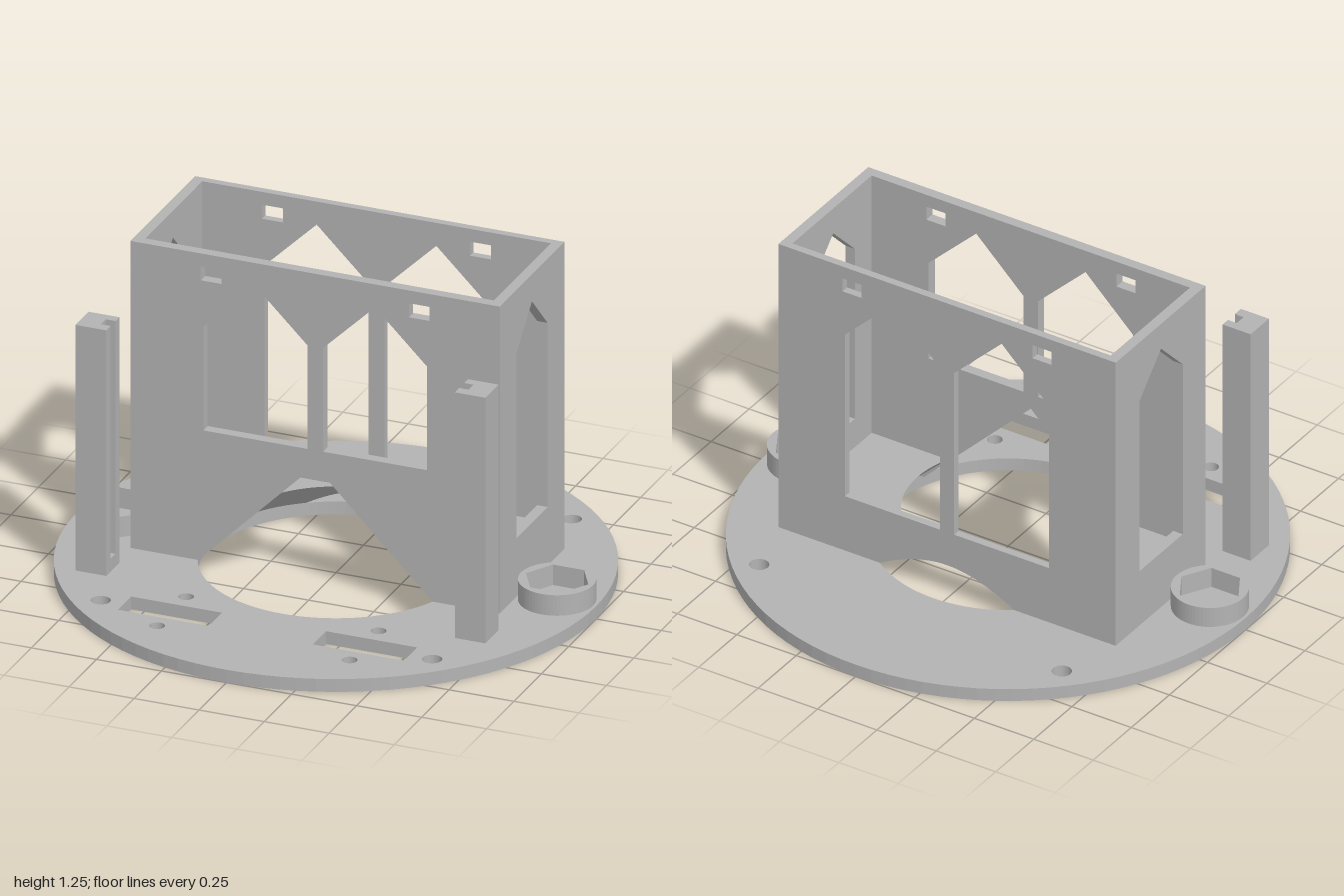
import * as THREE from 'three';

const BASE_TOP = 0.05, FLOOR = 0.16, WALL_TOP = 1.25;
const R_LOW = 0.49, R_HIGH = 0.38; // conical opening radii at BASE_TOP and FLOOR
const BACK = -0.4, BACK_IN = -0.37, FRONT_IN = 0.15, FRONT = 0.19;
const OUT_X = 0.71, IN_X = 0.67;

const gray = new THREE.MeshStandardMaterial({ color: 0xb3b3b3 });
gray.name = 'plain gray';

const poly = (pts) => new THREE.Shape(pts.map(([x, y]) => new THREE.Vector2(x, y)));
const rect = (x0, y0, x1, y1) => poly([[x0, y0], [x1, y0], [x1, y1], [x0, y1]]);
const circle = (x, y, r) => new THREE.Shape().absarc(x, y, r, 0, Math.PI * 2, false);
const gothic = (x0, x1, y0, y1, apex) =>
  poly([[x0, y0], [x1, y0], [x1, y1], [(x0 + x1) / 2, apex], [x0, y1]]);

function extrude(shape, holes, depth, curveSegments = 32) {
  shape.holes.push(...holes);
  return new THREE.ExtrudeGeometry(shape, { depth, bevelEnabled: false, curveSegments });
}
// Plan shapes use (x, -z) and rise along y
const plan = (shape, holes, y0, y1, seg) =>
  extrude(shape, holes, y1 - y0, seg).rotateX(-Math.PI / 2).translate(0, y0, 0);

export function createModel() {
  const model = new THREE.Group();
  const add = (name, geometry) => {
    const mesh = new THREE.Mesh(geometry, gray);
    mesh.name = name;
    model.add(mesh);
    return mesh;
  };

  // Round base plate with central opening, screw holes and slots
  const baseHoles = [circle(0, 0, R_LOW)];
  for (const s of [-1, 1]) {
    baseHoles.push(
      circle(s * 0.637, 0.64, 0.036), circle(s * 0.637, -0.635, 0.036),
      circle(s * 0.37, -0.49, 0.028), circle(s * 0.37, -0.755, 0.028),
      rect(s * 0.375 - 0.175, -0.685, s * 0.375 + 0.175, -0.565));
  }
  add('basePlate', plan(circle(0, 0, 1), baseHoles, 0, BASE_TOP, 48));

  // Pointed windows and small slots shared by the long walls
  const openings = (sill) => [-1, 1].flatMap((s) => [
    gothic(s * 0.23 - 0.2, s * 0.23 + 0.2, sill, 0.965, 1.16),
    rect(s * 0.4 - 0.04, 1.145, s * 0.4 + 0.04, 1.2)]);

  // Front wall with triangular cutout
  const front = poly([[-OUT_X, BASE_TOP], [-0.45, BASE_TOP], [0, 0.5], [0.45, BASE_TOP],
    [OUT_X, BASE_TOP], [OUT_X, WALL_TOP], [-OUT_X, WALL_TOP]]);
  add('frontWall', extrude(front, openings(0.56), FRONT - FRONT_IN).translate(0, 0, FRONT_IN));

  // Back wall above the floor
  add('backWall', extrude(rect(-IN_X, FLOOR, IN_X, WALL_TOP), openings(0.28), BACK_IN - BACK)
    .translate(0, 0, BACK));

  // Lower back face, arched where the cone breaks through it
  const halfArch = Math.sqrt(R_LOW ** 2 - BACK ** 2);
  const arch = [];
  for (let i = 0; i <= 24; i++) {
    const x = halfArch * (i / 12 - 1);
    arch.push([x, BASE_TOP + R_LOW - Math.hypot(x, BACK)]);
  }
  add('lowerBackFace', new THREE.ShapeGeometry(poly([[-IN_X, BASE_TOP], ...arch,
    [IN_X, BASE_TOP], [IN_X, FLOOR], [-IN_X, FLOOR]])).rotateY(Math.PI).translate(0, 0, BACK));

  // Side walls with one tall window each
  for (const [name, x] of [['leftWall', IN_X], ['rightWall', -OUT_X]]) {
    add(name, extrude(rect(-FRONT_IN, BASE_TOP, -BACK, WALL_TOP),
      [gothic(-0.04, 0.245, 0.28, 1.0, 1.145)], OUT_X - IN_X)
      .rotateY(Math.PI / 2).translate(x, 0, 0));
  }

  // Raised floor on both sides of the opening
  const tFront = Math.acos(FRONT_IN / R_HIGH), tBack = Math.acos(BACK_IN / R_HIGH);
  for (const s of [-1, 1]) {
    const pts = [[s * IN_X, -BACK_IN], [s * IN_X, -FRONT_IN]];
    for (let i = 0; i <= 24; i++) {
      const t = tFront + (tBack - tFront) * i / 24;
      pts.push([s * R_HIGH * Math.sin(t), -R_HIGH * Math.cos(t)]);
    }
    add(s > 0 ? 'leftFloor' : 'rightFloor',
      new THREE.ShapeGeometry(poly(pts)).rotateX(-Math.PI / 2).translate(0, FLOOR, 0));
  }

  // Conical inner surface under the floor, trimmed at the front and back walls
  const pos = [], index = [], N = 96;
  for (let i = 0; i <= N; i++) {
    const t = tFront + (2 * Math.PI - 2 * tFront) * i / N;
    const c = Math.cos(t), limit = (c > 0 ? FRONT_IN : BACK) / c;
    const r = Math.max(R_HIGH, Math.min(R_LOW, limit));
    pos.push(r * Math.sin(t), BASE_TOP + R_LOW - r, r * c,
      R_HIGH * Math.sin(t), FLOOR, R_HIGH * c);
    if (i < N) index.push(2 * i, 2 * i + 1, 2 * i + 2, 2 * i + 2, 2 * i + 1, 2 * i + 3);
  }
  const cone = new THREE.BufferGeometry();
  cone.setAttribute('position', new THREE.Float32BufferAttribute(pos, 3));
  cone.setIndex(index);
  cone.computeVertexNormals();
  add('conicalOpening', cone);

  // Grooved posts, grooves facing each other
  const post = (s, inner) => poly([[0, -0.44], [0.118, -0.44], [0.118, -0.32], [0, -0.32],
    [0, -0.355], [0.037, -0.355], [0.037, -0.4], [0, -0.4]].map(([x, y]) => [inner + s * x, y]));
  for (const [name, s, inner] of [['leftPost', 1, 0.642], ['rightPost', -1, -0.698]]) {
    add(name, plan(post(s, inner), [], BASE_TOP, 1.01));
    add(name + 'GrooveStop', new THREE.BoxGeometry(0.037, 0.05, 0.045)
      .translate(inner + s * 0.0185, BASE_TOP + 0.025, 0.3775));
  }

  // Round cups with hexagonal pockets
  for (const s of [-1, 1]) {
    const hex = [];
    for (let i = 0; i < 6; i++) {
      const a = i * Math.PI / 3;
      hex.push([s * 0.85 + 0.12 * Math.cos(a), 0.12 * Math.sin(a)]);
    }
    add(s > 0 ? 'leftNutCup' : 'rightNutCup',
      plan(circle(s * 0.85, 0, 0.139), [poly(hex)], BASE_TOP, 0.13));
  }
  return model;
}
